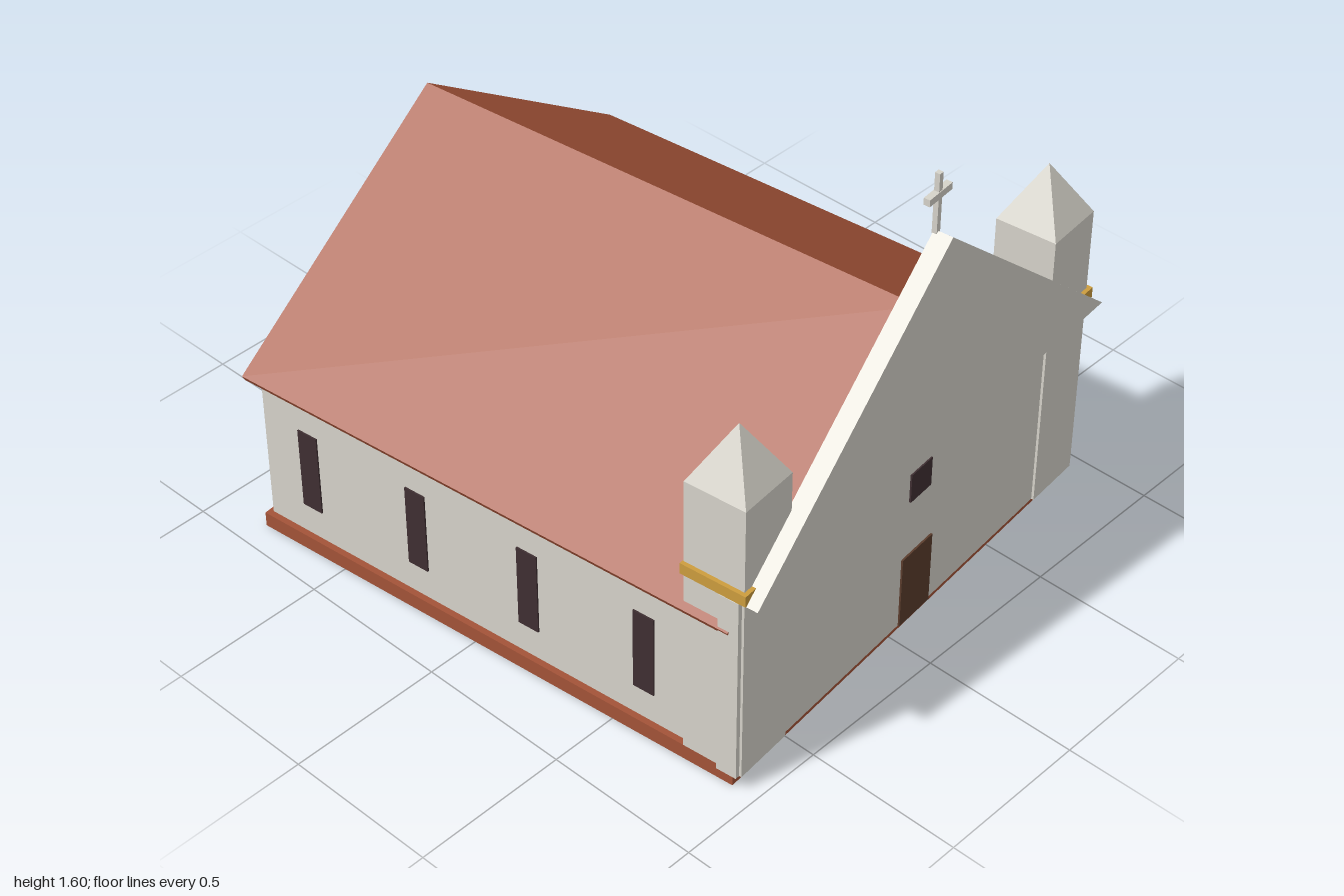
import * as THREE from 'three';

export function createModel() {
  const paint = (name, color) => {
    const m = new THREE.MeshStandardMaterial({ color });
    m.name = name;
    return m;
  };
  const plaster = paint('pale plaster', 0xd6d3ca);
  const tile = paint('red brown tile', 0xa35338);
  const gold = paint('ochre trim', 0xcd9d3e);
  const glass = paint('dark glass', 0x3f2f32);
  const wood = paint('brown wood', 0x5a3c2c);

  const church = new THREE.Group();
  church.name = 'church';
  church.rotation.y = 0.0986; // the building stands slightly turned

  const add = (name, geometry, material, parent = church) => {
    const mesh = new THREE.Mesh(geometry, material);
    mesh.name = name;
    parent.add(mesh);
    return mesh;
  };
  // Box given by its limits on each axis
  const box = (name, material, [x0, x1], [y0, y1], [z0, z1], parent) => {
    const mesh = add(name, new THREE.BoxGeometry(x1 - x0, y1 - y0, z1 - z0), material, parent);
    mesh.position.set((x0 + x1) / 2, (y0 + y1) / 2, (z0 + z1) / 2);
    return mesh;
  };
  // Outline in x and y, extruded from z0 to z1
  const prism = (name, material, points, z0, z1) => {
    const shape = new THREE.Shape(points.map(([x, y]) => new THREE.Vector2(x, y)));
    const geometry = new THREE.ExtrudeGeometry(shape, { depth: z1 - z0, bevelEnabled: false });
    return add(name, geometry.translate(0, 0, z0), material);
  };

  // Nave: plinth, walls, ceiling slab seen through the open rear gable
  box('plinth', tile, [-0.825, 0.825], [0, 0.05], [-0.9, 0.84]);
  box('naveWalls', plaster, [-0.805, 0.805], [0.05, 0.525], [-0.885, 0.8]);
  box('corniceSlab', gold, [-0.81, 0.81], [0.525, 0.555], [-0.89, 0.8]);

  // Thin pitched roof, hollow underneath
  prism('roof', tile, [
    [-0.845, 0.572], [-0.835, 0.553], [0, 1.115],
    [0.835, 0.553], [0.845, 0.572], [0, 1.14],
  ], -0.92, 0.83);

  // Facade with overhanging gable
  box('facade', plaster, [-0.84, 0.84], [0.05, 0.69], [0.795, 0.862]);
  prism('frontGable', plaster, [[-0.835, 0.69], [0.835, 0.69], [0, 1.41]], 0.86, 0.92);
  box('door', wood, [-0.073, 0.073], [0.05, 0.3], [0.861, 0.868]);
  box('facadeWindow', glass, [-0.05, 0.05], [0.5, 0.6], [0.861, 0.868]);

  // Cross on the gable peak
  const cross = new THREE.Group();
  cross.name = 'cross';
  church.add(cross);
  box('crossPost', plaster, [-0.008, 0.008], [1.4, 1.595], [0.857, 0.873], cross);
  box('crossArm', plaster, [-0.052, 0.052], [1.516, 1.538], [0.855, 0.875], cross);

  for (const side of [-1, 1]) {
    const span = (a, b) => [Math.min(side * a, side * b), Math.max(side * a, side * b)];

    // Corner tower with trim band and pyramid cap
    const tower = new THREE.Group();
    tower.name = side > 0 ? 'leftTower' : 'rightTower';
    church.add(tower);
    box('towerShaft', plaster, span(0.625, 0.825), [0.05, 1], [0.67, 0.87], tower);
    box('towerBand', gold, span(0.615, 0.838), [0.69, 0.726], [0.667, 0.883], tower);
    const cap = new THREE.ConeGeometry(0.1 * Math.SQRT2, 0.18, 4, 1).rotateY(Math.PI / 4).toNonIndexed();
    cap.computeVertexNormals();
    add('towerCap', cap, plaster, tower).position.set(side * 0.725, 1.09, 0.77);

    // Row of tall side windows
    for (let i = 0; i < 4; i++) {
      const z = 0.52 - i * 0.411;
      box('sideWindow', glass, span(0.803, 0.81), [0.155, 0.435], [z - 0.036, z + 0.036]);
    }
  }

  const model = new THREE.Group();
  model.name = 'model';
  model.add(church);
  return model;
}
